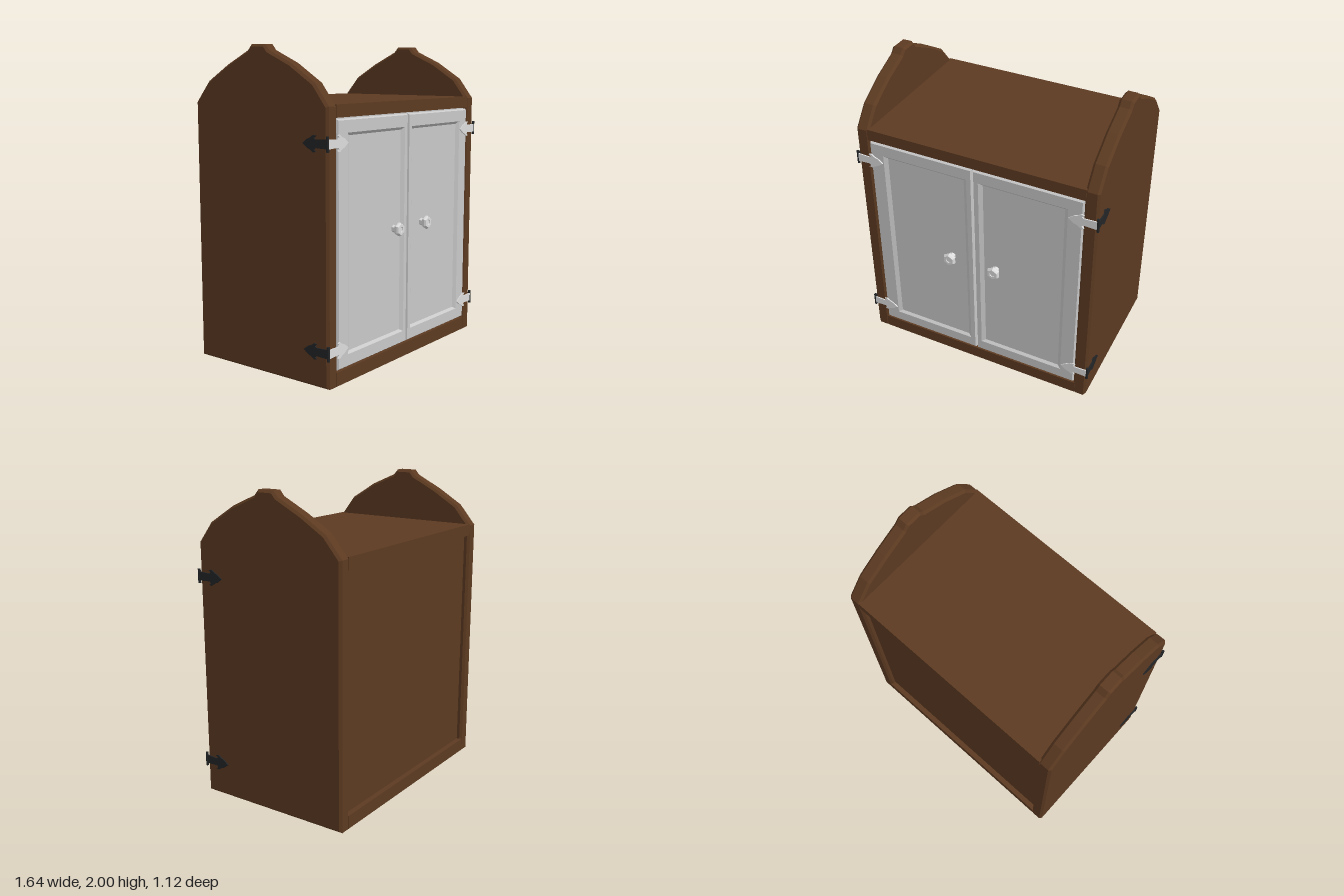
import * as THREE from 'three';

const mat = (name, color, side = THREE.FrontSide) => {
  const m = new THREE.MeshStandardMaterial({ color, side });
  m.name = name;
  return m;
};

export function createModel() {
  const wood = mat('brown wood', 0x5c3a21);
  const paint = mat('grey door paint', 0xc8c8c8);
  const silver = mat('pale metal', 0xdcdcdc);
  const black = mat('black iron', 0x222426);

  const model = new THREE.Group();
  model.name = 'cabinet';
  const add = (name, geometry, material, x = 0, y = 0, z = 0) => {
    const mesh = new THREE.Mesh(geometry, material);
    mesh.name = name;
    mesh.position.set(x, y, z);
    model.add(mesh);
    return mesh;
  };
  const box = (name, w, y0, y1, z0, z1, material) =>
    add(name, new THREE.BoxGeometry(w, y1 - y0, z1 - z0), material, 0, (y0 + y1) / 2, (z0 + z1) / 2);
  const shapeOf = pts => new THREE.Shape(pts.map(p => new THREE.Vector2(...p)));

  // Carcass: top, bottom, back and the board behind the doors
  box('topBoard', 1.46, 1.585, 1.66, -0.56, 0.5, wood);
  box('bottomBoard', 1.46, 0, 0.085, -0.56, 0.5, wood);
  box('backPanel', 1.46, 0.07, 1.6, -0.525, -0.49, wood);
  box('doorBacking', 1.46, 0.07, 1.6, 0.44, 0.475, paint);

  // Arched side panels; profile in (-z, y), extruded along x with chamfered edges
  const sideShape = shapeOf([
    [-0.5, 0], [0.56, 0], [0.56, 1.65], [0.45, 1.78], [0.285, 1.88], [0.115, 1.965],
    [0.085, 2], [-0.025, 2], [-0.055, 1.965], [-0.225, 1.89], [-0.4, 1.78], [-0.5, 1.65],
  ]);
  const bevel = 0.015;
  const sideGeo = new THREE.ExtrudeGeometry(sideShape, {
    depth: 0.09 - 2 * bevel, bevelEnabled: true, bevelThickness: bevel,
    bevelSize: bevel, bevelOffset: -bevel, bevelSegments: 1,
  });
  sideGeo.translate(0, 0, -0.045 + bevel).rotateY(Math.PI / 2);

  // Panel built from nested rectangles [x0, x1, y0, y1, z], outermost first
  const steppedPanel = loops => {
    const rings = loops.map(([x0, x1, y0, y1, z]) => [[x0, y0, z], [x1, y0, z], [x1, y1, z], [x0, y1, z]]);
    const pos = [];
    const quad = (a, b, c, d) => pos.push(...a, ...b, ...c, ...a, ...c, ...d);
    for (let i = 0; i < rings.length - 1; i++) {
      for (let k = 0; k < 4; k++) {
        const n = (k + 1) % 4;
        quad(rings[i][k], rings[i][n], rings[i + 1][n], rings[i + 1][k]);
      }
    }
    quad(...rings[rings.length - 1]);
    const g = new THREE.BufferGeometry();
    g.setAttribute('position', new THREE.Float32BufferAttribute(pos, 3));
    g.computeVertexNormals();
    return g;
  };

  // Hinge strap with a barbed, pointed tip towards +x
  const half = [[0, 0.028], [0.09, 0.024], [0.1, 0.034], [0.085, 0.046], [0.105, 0.05], [0.13, 0.033], [0.15, 0.026]];
  const strapShape = shapeOf([...half, [0.185, 0], ...half.slice().reverse().map(([x, y]) => [x, -y])]);
  const strap = () => new THREE.ExtrudeGeometry(strapShape, { depth: 0.008, bevelEnabled: false }).translate(0, 0, -0.004);

  // Six-sided knob, axis turned to face forward
  const knobProfile = [[0.025, 0], [0.022, 0.024], [0.038, 0.028], [0.044, 0.036], [0.044, 0.048], [0.036, 0.06], [0.019, 0.06], [0.016, 0.055], [0, 0.055]];
  const knobGeo = new THREE.LatheGeometry(knobProfile.map(p => new THREE.Vector2(...p)), 6)
    .rotateX(Math.PI / 2).toNonIndexed();
  knobGeo.computeVertexNormals();

  for (const s of [1, -1]) {
    const label = s > 0 ? 'left' : 'right';
    add(label + 'SidePanel', sideGeo, wood, s * 0.765);

    // Door with a recessed field
    const rect = (a, b, y0, y1, z) => [Math.min(s * a, s * b), Math.max(s * a, s * b), y0, y1, z];
    add(label + 'Door', steppedPanel([
      rect(0.004, 0.719, 0.094, 1.576, 0.474),
      rect(0.004, 0.719, 0.094, 1.576, 0.49),
      rect(0.01, 0.712, 0.102, 1.568, 0.502),
      rect(0.04, 0.625, 0.172, 1.495, 0.502),
      rect(0.065, 0.6, 0.187, 1.478, 0.486),
    ]), paint);
    add(label + 'Knob', knobGeo, silver, s * 0.157, 0.865, 0.502);

    // Two hinges: pale strap on the door, dark strap on the side, pin at the corner
    for (const y of [0.22, 1.44]) {
      const front = strap();
      if (s > 0) front.rotateZ(Math.PI);
      add(label + 'HingeFrontStrap', front, silver, s * 0.815, y, 0.506);
      add(label + 'HingeSideStrap', strap().rotateY(Math.PI / 2), black, s * 0.814, y, 0.505);
      add(label + 'HingePin', new THREE.CylinderGeometry(0.009, 0.009, 0.09, 8), black, s * 0.813, y, 0.503);
    }
  }
  return model;
}
